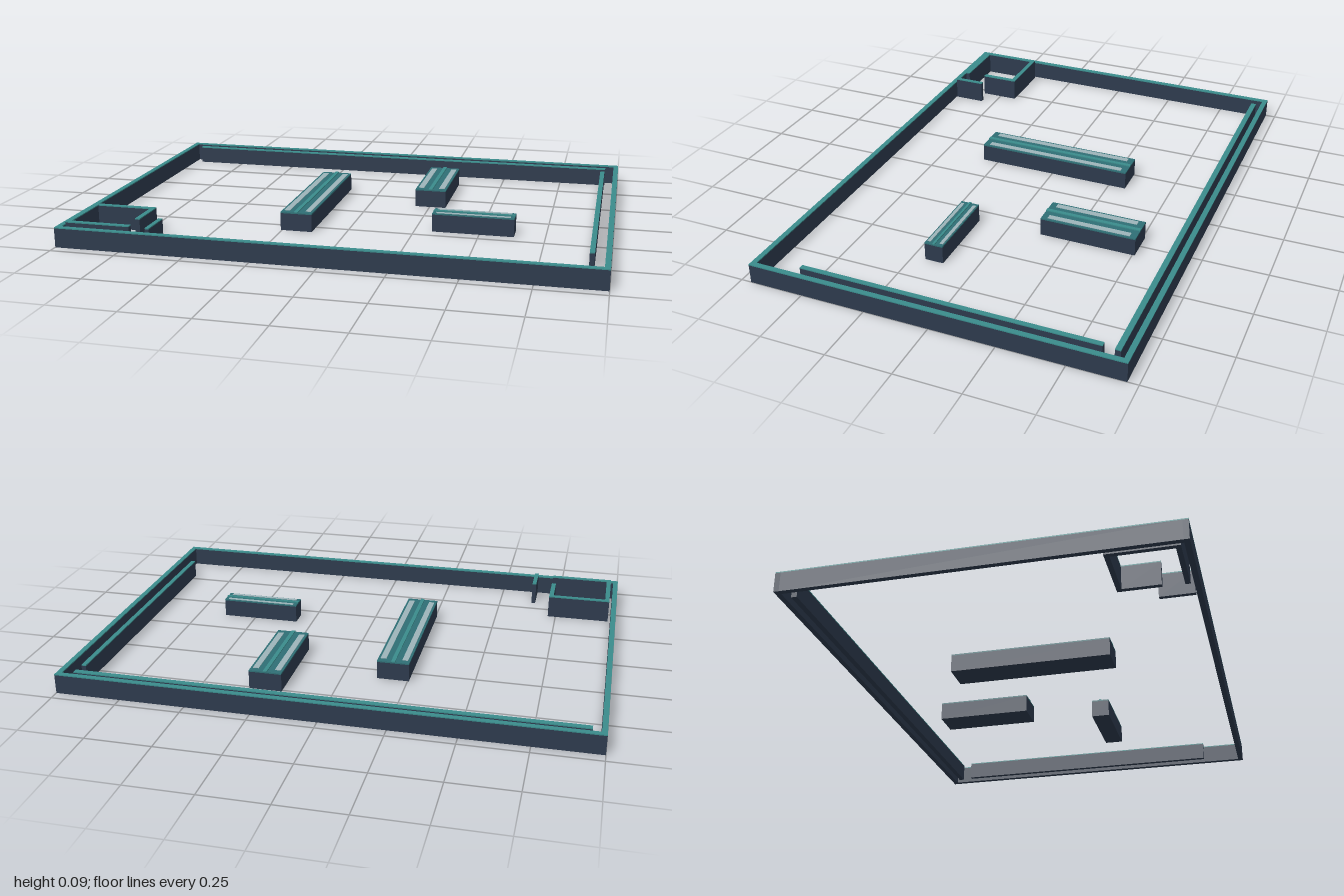
import * as THREE from 'three';

const mat = (color) => new THREE.MeshStandardMaterial({ color });
const navy = mat(0x2d3a4d);
const teal = mat(0x3a8c8c);
const deepTeal = mat(0x2f6f75);
const pale = mat(0x9db4b9);

// Box given by its extents on each axis
function block(name, material, x0, x1, y0, y1, z0, z1) {
  const mesh = new THREE.Mesh(new THREE.BoxGeometry(x1 - x0, y1 - y0, z1 - z0), material);
  mesh.position.set((x0 + x1) / 2, (y0 + y1) / 2, (z0 + z1) / 2);
  mesh.name = name;
  return mesh;
}

// Dark wall with a thin teal cap
function wall(name, x0, x1, z0, z1, height) {
  const group = new THREE.Group();
  group.name = name;
  const capBase = height - 0.004;
  group.add(block('wallBody', navy, x0, x1, 0, capBase, z0, z1));
  group.add(block('wallCap', teal, x0, x1, capBase, height, z0, z1));
  return group;
}

// Long display unit: dark base, teal top, two pale side strips and a centre ridge
function displayUnit(name, cx, cz, width, length, alongX) {
  const group = new THREE.Group();
  group.name = name;
  const w = width / 2, l = length / 2, end = Math.min(0.03, width * 0.2);
  group.add(block('unitBase', navy, -w, w, 0, 0.068, -l, l));
  group.add(block('unitTop', deepTeal, -w, w, 0.068, 0.073, -l, l));
  for (const s of [-1, 1]) {
    const a = s * w * 0.5, b = s * w * 0.86;
    group.add(block('sideStrip', pale, Math.min(a, b), Math.max(a, b), 0.073, 0.075, -l + end, l - end));
  }
  group.add(block('centreRidge', teal, -w * 0.12, w * 0.12, 0.073, 0.077, -l, l));
  if (alongX) group.rotation.y = Math.PI / 2;
  group.position.set(cx, 0, cz);
  return group;
}

export function createModel() {
  const model = new THREE.Group();
  model.name = 'floorPlan';
  const t = 0.02, X = 1, Z = 0.71, H = 0.077;

  // Outer walls
  for (const s of [-1, 1]) {
    const z = s * (Z - t / 2), x = s * (X - t / 2);
    model.add(wall(s > 0 ? 'frontWall' : 'backWall', -X, X, z - t / 2, z + t / 2, H));
    model.add(wall(s > 0 ? 'leftWall' : 'rightWall', x - t / 2, x + t / 2, -Z + t, Z - t, H));
  }

  // Inner linings along the back and one side
  model.add(wall('backLining', -0.95, 0.945, -0.668, -0.647, 0.073));
  model.add(wall('sideLining', 0.925, 0.943, -0.605, 0.535, 0.073));

  // Corner room with a doorway, and the screen beside it
  const R = 0.092;
  model.add(wall('roomBackWall', -0.97, -0.718, 0.427, 0.445, R));
  model.add(wall('roomFrontWall', -0.97, -0.718, 0.66, 0.678, R));
  model.add(wall('roomOuterWall', -0.97, -0.952, 0.445, 0.66, R));
  model.add(wall('roomDoorWall', -0.736, -0.718, 0.445, 0.583, R));
  model.add(wall('entranceScreen', -0.652, -0.636, 0.56, 0.687, R));

  // Display units in the middle of the floor
  model.add(displayUnit('longUnit', -0.193, -0.003, 0.124, 0.634, false));
  model.add(displayUnit('mediumUnit', 0.253, -0.32, 0.126, 0.378, false));
  model.add(displayUnit('smallUnit', 0.475, 0.163, 0.073, 0.315, true));

  return model;
}
